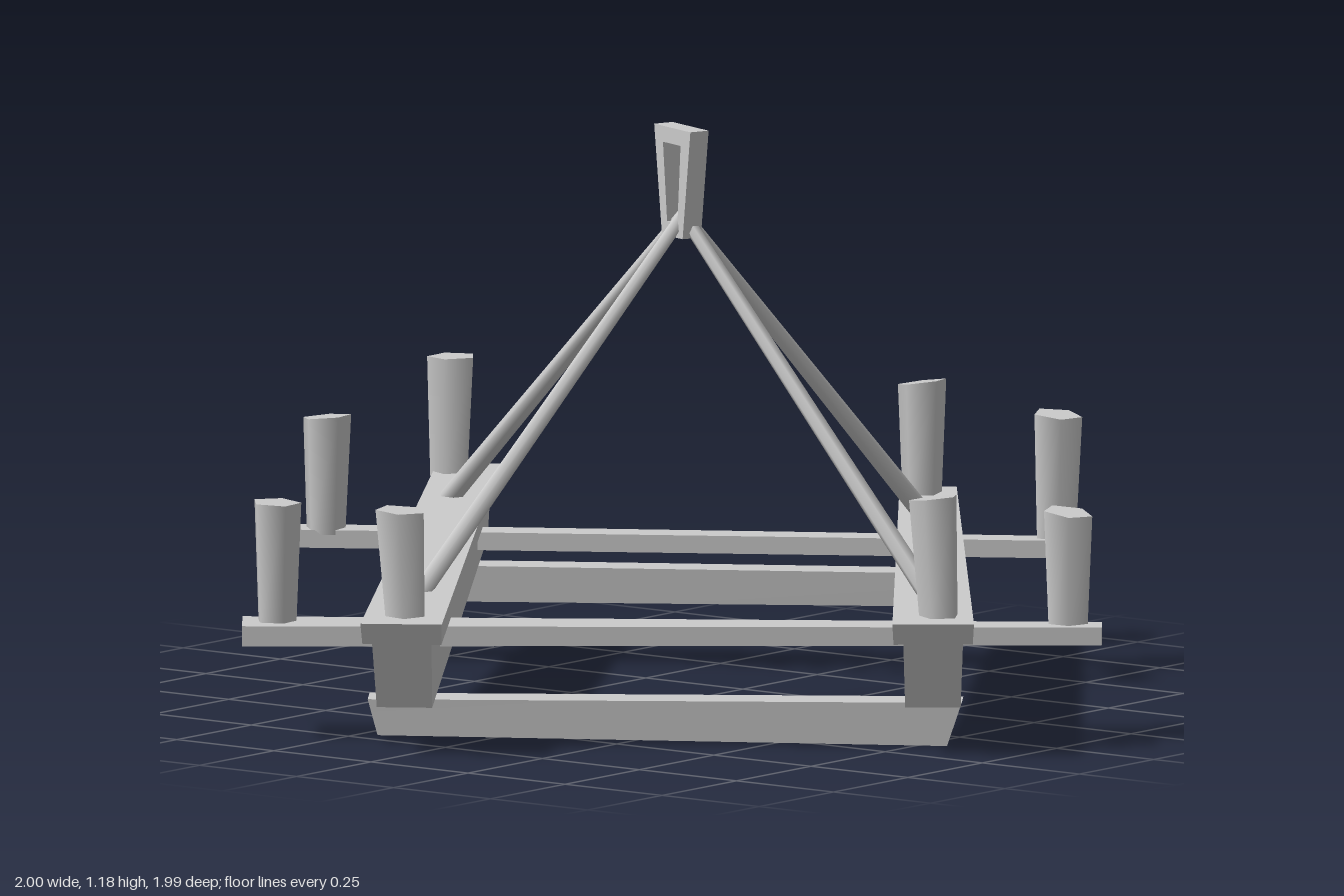
import * as THREE from 'three';

const material = new THREE.MeshStandardMaterial({ color: 0xcccccc });

function add(group, name, geometry) {
  const mesh = new THREE.Mesh(geometry, material);
  mesh.name = name;
  group.add(mesh);
  return mesh;
}

// Tapered timber between two ends. Each end gives its plan position, heights,
// widths, and how far the top and bottom edges are cut back along the timber.
function timber(A, B) {
  const geo = new THREE.BoxGeometry(1, 1, 1);
  const pos = geo.attributes.position;
  const len = Math.hypot(B.x - A.x, B.z - A.z);
  const dx = (B.x - A.x) / len, dz = (B.z - A.z) / len;
  for (let i = 0; i < pos.count; i++) {
    const atB = pos.getZ(i) > 0, up = pos.getY(i) > 0;
    const e = atB ? B : A;
    const side = pos.getX(i) * (up ? e.wTop : e.wBot);
    const along = (up ? e.cutTop : e.cutBot) * (atB ? -1 : 1);
    pos.setXYZ(i, e.x + dz * side + dx * along, up ? e.top : e.bot, e.z - dx * side + dz * along);
  }
  geo.computeVertexNormals();
  return geo;
}

function end(x, z, top, bot, wTop, wBot = wTop, cutTop = 0, cutBot = 0) {
  return { x, z, top, bot, wTop, wBot, cutTop, cutBot };
}

// Main beam: a wide top board over a narrower body with undercut ends
function mainBeam(group, name, front, back) {
  const [fx, fz, fTop, fBot, fw] = front;
  const [bx, bz, bTop, bBot, bw] = back;
  const beam = new THREE.Group();
  beam.name = name;
  add(beam, 'topBoard', timber(
    end(fx, fz, fTop, fTop - 0.045, fw, fw * 0.97, 0, 0.02),
    end(bx, bz, bTop, bTop - 0.035, bw, bw * 0.97, 0, 0.02)));
  add(beam, 'beamBody', timber(
    end(fx, fz, fTop - 0.045, fBot, fw * 0.73, fw * 0.68, 0.02, 0.085),
    end(bx, bz, bTop - 0.035, bBot, bw * 0.73, bw * 0.68, 0.02, 0.065)));
  group.add(beam);
}

// Rod running from the apex to a beam, thicker at its foot
function rod(from, to) {
  const dir = to.clone().sub(from);
  const geo = new THREE.CylinderGeometry(0.021, 0.014, dir.length(), 6);
  geo.applyQuaternion(new THREE.Quaternion().setFromUnitVectors(
    new THREE.Vector3(0, 1, 0), dir.clone().normalize()));
  const mid = from.clone().add(to).multiplyScalar(0.5);
  return geo.translate(mid.x, mid.y, mid.z);
}

// Five-sided candle, widening upwards, leaning slightly, with a slanted top
function candle(x, z, base, top, lean, turn) {
  const h = top - base;
  const geo = new THREE.CylinderGeometry(0.052, 0.042, h, 5, 1);
  geo.rotateY(turn);
  const pos = geo.attributes.position;
  for (let i = 0; i < pos.count; i++) {
    if (pos.getY(i) > 0) {
      pos.setY(i, pos.getY(i) - 0.008 + pos.getX(i) * 0.15 * Math.cos(turn * 3));
    } else {
      pos.setX(i, pos.getX(i) - lean);
      pos.setZ(i, pos.getZ(i) - Math.abs(lean));
    }
  }
  return geo.translate(x, base + h / 2, z);
}

export function createModel() {
  const model = new THREE.Group();
  model.name = 'chandelier';

  // Two main beams
  mainBeam(model, 'leftMainBeam', [0.895, 0.278, 0.28, 0.095, 0.167], [-0.075, -0.97, 0.325, 0.215, 0.117]);
  mainBeam(model, 'rightMainBeam', [0.03, 0.938, 0.28, 0.095, 0.167], [-0.875, -0.47, 0.36, 0.217, 0.13]);

  // Thin planks crossing through the beams
  add(model, 'backPlank', timber(
    end(0.378, -0.895, 0.268, 0.232, 0.067), end(-0.975, -0.008, 0.275, 0.238, 0.08)));
  add(model, 'frontPlank', timber(
    end(0.98, -0.178, 0.232, 0.195, 0.075), end(-0.425, 0.878, 0.237, 0.195, 0.137)));

  // Lower beams under the main beams
  add(model, 'backLowerBeam', timber(
    end(0.075, -0.77, 0.19, 0.12, 0.08, 0.065, 0, 0.03),
    end(-0.8, -0.235, 0.19, 0.115, 0.08, 0.065, 0, 0.06)));
  add(model, 'frontLowerBeam', timber(
    end(0.805, 0.062, 0.095, 0.005, 0.09, 0.08, 0, 0.03),
    end(-0.19, 0.76, 0.095, 0.02, 0.09, 0.08, 0, 0.02)));
  // lowest corner rests on the ground
  model.children.forEach((m) => { if (m.name === 'frontLowerBeam') m.position.y = -0.005; });

  // Four hanging rods meeting at the apex
  const apex = new THREE.Vector3(0, 1.005, -0.05);
  [[0.135, 0.305, -0.70], [-0.71, 0.335, -0.185], [0.69, 0.285, 0.02], [-0.15, 0.29, 0.64]]
    .forEach((p) => add(model, 'hangingRod', rod(apex, new THREE.Vector3(...p))));

  // Trapezoid hanging loop
  const frame = new THREE.Shape([[-0.044, 0.96], [0.036, 0.96], [0.066, 1.185], [-0.074, 1.185]]
    .map(([x, y]) => new THREE.Vector2(x, y)));
  frame.holes.push(new THREE.Path([[-0.024, 0.99], [-0.04, 1.152], [0.028, 1.152], [0.016, 0.99]]
    .map(([x, y]) => new THREE.Vector2(x, y))));
  const loop = add(model, 'hangingLoop', new THREE.ExtrudeGeometry(frame, { depth: 0.044, bevelEnabled: false })
    .translate(0, 0, -0.022));
  loop.rotation.y = -0.36;
  loop.position.set(-0.004, 0, -0.052);

  // Candles: x, z, base, top, lean
  [
    [-0.045, -0.91, 0.31, 0.56, 0], [0.342, -0.86, 0.26, 0.535, 0.02],
    [-0.84, -0.37, 0.345, 0.605, 0.02], [-0.905, -0.03, 0.265, 0.515, 0.01],
    [0.91, -0.155, 0.225, 0.47, 0], [0.838, 0.20, 0.275, 0.535, -0.008],
    [-0.375, 0.83, 0.23, 0.49, 0], [-0.028, 0.865, 0.275, 0.51, -0.008],
  ].forEach(([x, z, base, top, lean], i) => add(model, 'candle', candle(x, z, base, top, lean, i * 0.8)));

  return model;
}
